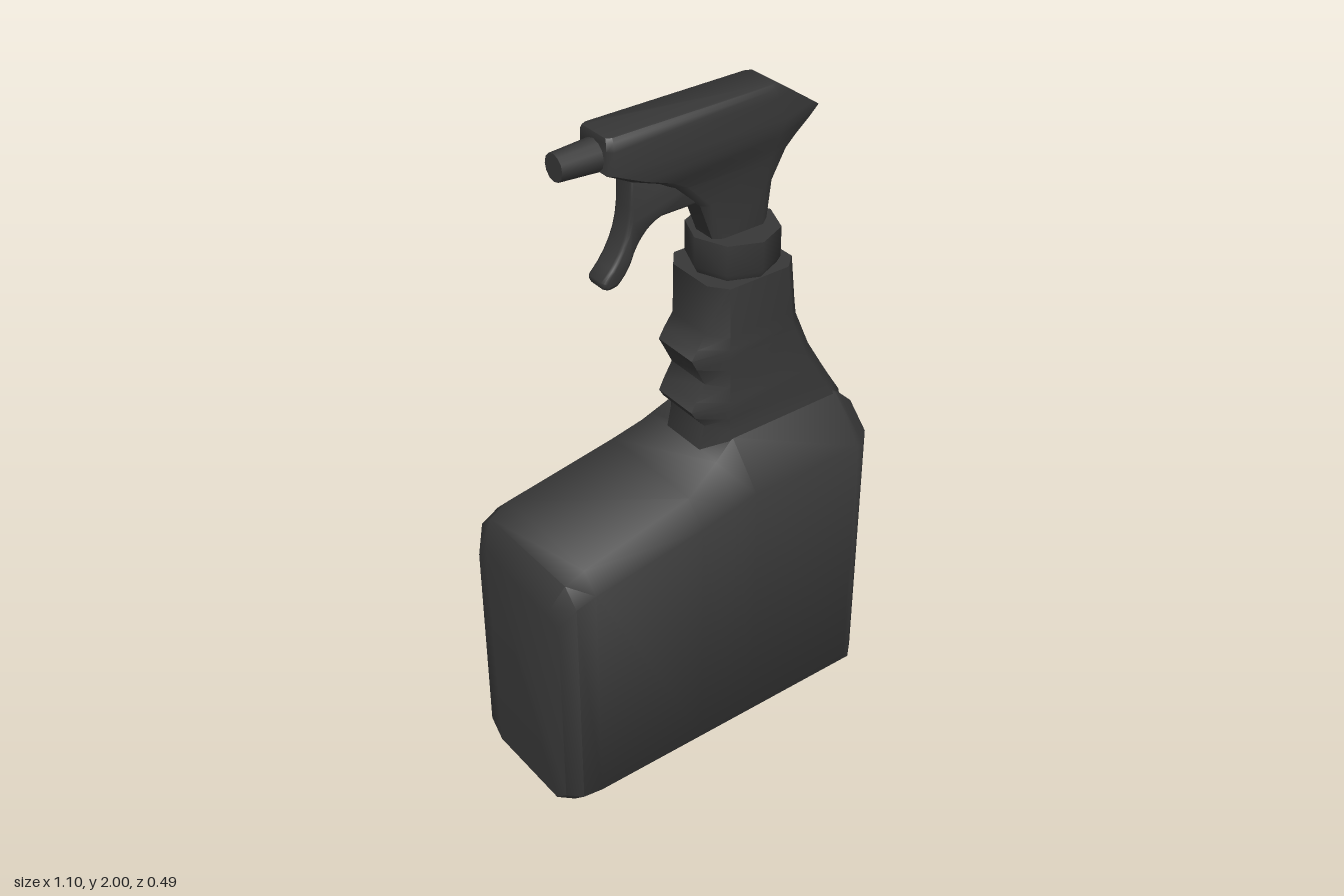
import * as THREE from 'three';
import { toCreasedNormals } from 'three/addons/utils/BufferGeometryUtils.js';

// Skin a list of equal-length rings of [x, y, z] points and close both ends.
// Rings run anticlockwise seen from the end the list leads to.
function loft(rings, crease = 0.9) {
  const n = rings[0].length;
  const pos = rings.flat(2);
  const index = [];
  for (let r = 0; r < rings.length - 1; r++) {
    for (let i = 0; i < n; i++) {
      const a = r * n + i, b = r * n + (i + 1) % n;
      index.push(a, b, b + n, a, b + n, a + n);
    }
  }
  const end = (rings.length - 1) * n;
  for (let i = 1; i < n - 1; i++) {
    index.push(0, i + 1, i, end, end + i, end + i + 1);
  }
  const geo = new THREE.BufferGeometry();
  geo.setAttribute('position', new THREE.Float32BufferAttribute(pos, 3));
  geo.setIndex(index);
  return toCreasedNormals(geo, crease);
}

// Horizontal eight-sided ring: x limits, half depth, and at each end
// the corner length and the half width of the end face.
function levelRing([y, xl, xr, d, cl, al, cr, ar]) {
  return [
    [xr, y, ar], [xr, y, -ar], [xr - cr, y, -d], [xl + cl, y, -d],
    [xl, y, -al], [xl, y, al], [xl + cl, y, d], [xr - cr, y, d],
  ];
}

// Upright eight-sided ring across the body: top height, half depth,
// half width of the top and height of the shoulder slope.
function bodyRing([x, top, d, t, k]) {
  const b = 0.05;
  return [
    [x, top, -t], [x, top, t], [x, top - k, d], [x, b, d],
    [x, 0, d - b], [x, 0, b - d], [x, b, -d], [x, top - k, -d],
  ];
}

export function createModel() {
  const group = new THREE.Group();
  const material = new THREE.MeshStandardMaterial({ color: 0x383838 });
  const add = (name, geometry) => {
    const mesh = new THREE.Mesh(geometry, material);
    mesh.name = name;
    group.add(mesh);
    return mesh;
  };

  // Bottle body with its sloping shoulder
  add('bottleBody', loft([
    [-0.548, 0.73, 0.2, 0.16, 0.04],
    [-0.51, 0.81, 0.237, 0.185, 0.05],
    [-0.45, 0.84, 0.245, 0.19, 0.055],
    [-0.09, 0.91, 0.245, 0.18, 0.07],
    [0.03, 0.965, 0.245, 0.15, 0.1],
    [0.1, 1.01, 0.245, 0.135, 0.13],
    [0.48, 1.01, 0.245, 0.135, 0.13],
    [0.5, 0.995, 0.245, 0.135, 0.12],
    [0.548, 0.95, 0.2, 0.13, 0.07],
  ].map(bodyRing)));

  // Tapering neck with two finger ridges on one edge
  const neck = [
    [0.92, 0.02, 0.547, 0.145], [0.97, 0.03, 0.54, 0.14],
    [1.04, 0.045, 0.495, 0.134], [1.075, 0.015, 0.473, 0.134],
    [1.1, 0, 0.458, 0.133], [1.13, 0.015, 0.44, 0.133],
    [1.18, 0.045, 0.41, 0.132], [1.235, 0.018, 0.386, 0.131],
    [1.27, 0, 0.371, 0.13], [1.3, 0.018, 0.358, 0.13],
    [1.34, 0.048, 0.352, 0.128], [1.49, 0.05, 0.335, 0.125],
  ];
  add('neck', loft(neck.map(([y, xl, xr, d]) =>
    levelRing([y, xl, xr, d, 0.09 - xl, 0.075, 0.045, 0.085]))));

  // Eight-sided screw collar
  const collar = [[0, 1.485], [0.118, 1.485], [0.131, 1.51], [0.131, 1.6], [0, 1.6]]
    .map(([r, y]) => new THREE.Vector2(r, y));
  add('collar', toCreasedNormals(new THREE.LatheGeometry(collar, 8), 0.9))
    .position.x = 0.195;

  // Spray head, widening from its stem to the barrel and pointed tail
  add('sprayHead', loft([
    [1.59, 0.1, 0.285, 0.052, 0.025, 0.035, 0.03, 0.03],
    [1.71, 0.055, 0.3, 0.052, 0.025, 0.035, 0.04, 0.03],
    [1.79, -0.03, 0.345, 0.055, 0.03, 0.035, 0.07, 0.03],
    [1.82, -0.08, 0.38, 0.06, 0.03, 0.04, 0.1, 0.028],
    [1.855, -0.17, 0.424, 0.066, 0.03, 0.045, 0.13, 0.028],
    [1.885, -0.225, 0.457, 0.069, 0.02, 0.05, 0.15, 0.028],
    [1.9, -0.252, 0.436, 0.069, 0.015, 0.056, 0.13, 0.032],
    [1.965, -0.252, 0.34, 0.069, 0.015, 0.056, 0.06, 0.05],
    [1.99, -0.252, 0.303, 0.066, 0.015, 0.055, 0.03, 0.055],
    [2.0, -0.25, 0.288, 0.058, 0.015, 0.05, 0.02, 0.05],
  ].map(levelRing)));

  // Nozzle
  const nozzle = add('nozzle', new THREE.CylinderGeometry(0.038, 0.046, 0.13, 12));
  nozzle.rotation.z = Math.PI / 2;
  nozzle.position.set(-0.305, 1.938, 0);

  // Curved trigger with the link back to the stem
  const s = new THREE.Shape();
  s.moveTo(-0.155, 1.87);
  s.lineTo(-0.157, 1.77);
  s.quadraticCurveTo(-0.165, 1.66, -0.247, 1.582);
  s.quadraticCurveTo(-0.25, 1.563, -0.215, 1.572);
  s.quadraticCurveTo(-0.18, 1.6, -0.165, 1.645);
  s.quadraticCurveTo(-0.13, 1.715, -0.07, 1.73);
  s.lineTo(0.09, 1.73);
  s.lineTo(0.09, 1.8);
  s.lineTo(-0.03, 1.83);
  s.closePath();
  const trigger = new THREE.ExtrudeGeometry(s, {
    depth: 0.05, bevelSize: 0.01, bevelThickness: 0.012, bevelSegments: 2, curveSegments: 6,
  });
  trigger.translate(0, 0, -0.025);
  add('trigger', toCreasedNormals(trigger, 0.9));

  return group;
}
